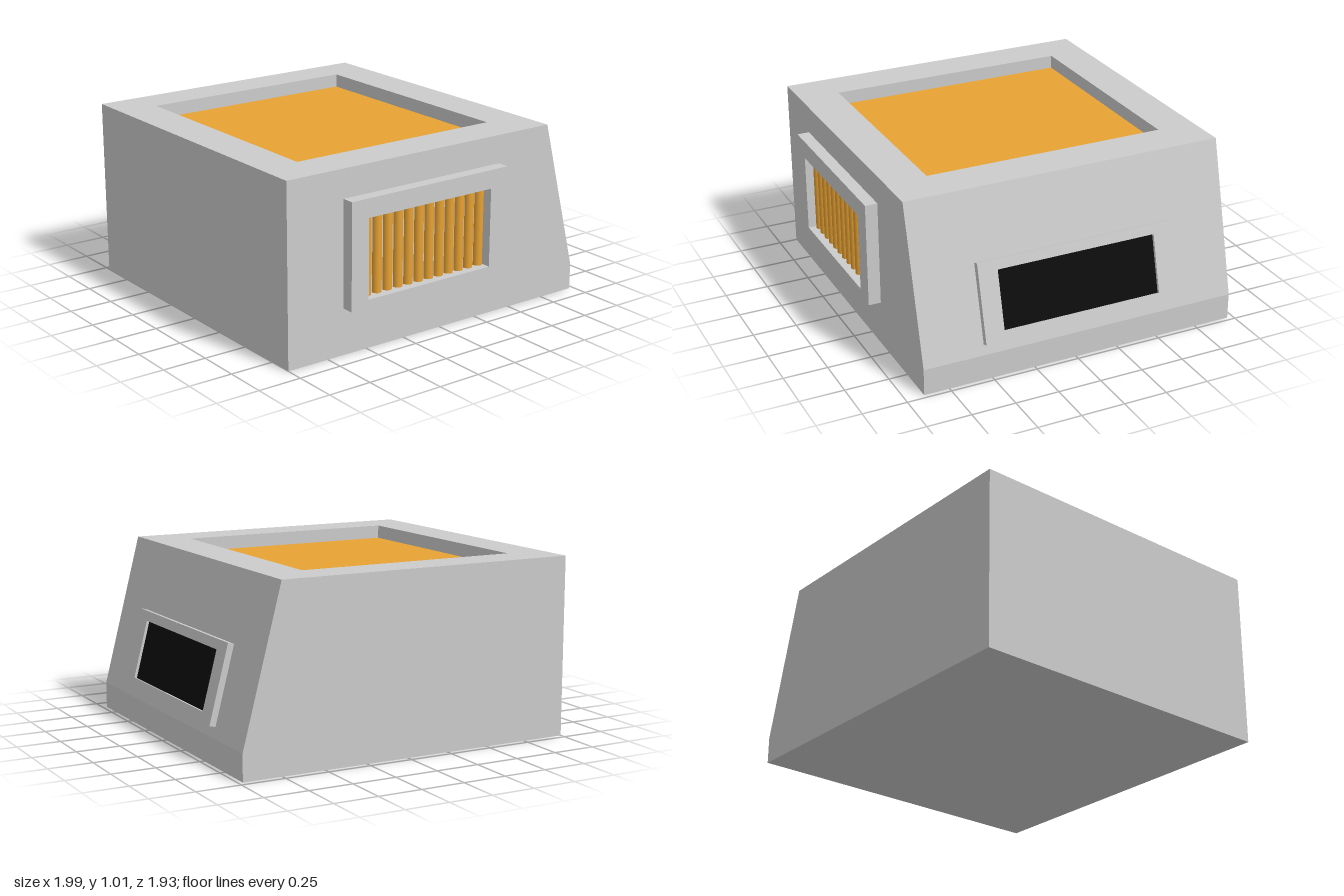
import * as THREE from 'three';

const grey = new THREE.MeshStandardMaterial({ color: 0xcccccc, flatShading: true });
const orange = new THREE.MeshStandardMaterial({ color: 0xe8a233 });
const black = new THREE.MeshStandardMaterial({ color: 0x0c0c0c });

function add(parent, name, geometry, material, x = 0, y = 0, z = 0) {
  const mesh = new THREE.Mesh(geometry, material);
  mesh.name = name;
  mesh.position.set(x, y, z);
  parent.add(mesh);
  return mesh;
}

function extrude(shape, depth) {
  return new THREE.ExtrudeGeometry(shape, { depth, bevelEnabled: false });
}

const polygon = (points) => new THREE.Shape(points.map(([x, y]) => new THREE.Vector2(x, y)));

const rectangle = (x0, x1, y0, y1) => [[x0, y0], [x1, y0], [x1, y1], [x0, y1]];

// Rectangular frame with a rectangular opening, growing along +z
function frame(outer, inner, depth) {
  const shape = polygon(rectangle(...outer));
  shape.holes.push(polygon(rectangle(...inner).reverse()));
  return extrude(shape, depth);
}

export function createModel() {
  const model = new THREE.Group();
  model.name = 'housing';

  // Body: solid front and back sections, with a notched section for the top recess
  const top = 1.015, floor = 0.935, left = -0.77, right = 0.515;
  const base = [[-1, 0], [0.975, 0], [0.975, 0.15], [0.75, top]];
  const solid = polygon([...base, [-1, top]]);
  const notched = polygon([...base, [right, top], [right, floor], [left, floor], [left, top], [-1, top]]);
  const body = new THREE.Group();
  body.name = 'body';
  model.add(body);
  add(body, 'bodyBack', extrude(solid, 0.225), grey, 0, 0, -0.965);
  add(body, 'bodyMiddle', extrude(notched, 1.4), grey, 0, 0, -0.74);
  add(body, 'bodyFront', extrude(solid, 0.235), grey, 0, 0, 0.66);

  // Coloured panel at the bottom of the recess
  const panel = new THREE.PlaneGeometry(right - left, 1.4).rotateX(-Math.PI / 2);
  add(model, 'topPanel', panel, orange, (left + right) / 2, floor + 0.003, -0.04);

  // Front grille: frame with a row of upright bars
  const grille = new THREE.Group();
  grille.name = 'frontGrille';
  model.add(grille);
  add(grille, 'grilleFrame', frame([-0.65, 0.4, 0.26, 0.855], [-0.54, 0.285, 0.305, 0.75], 0.07), grey, 0, 0, 0.895);
  const bar = new THREE.CylinderGeometry(0.027, 0.027, 0.44, 16);
  for (let i = 0; i < 12; i++) {
    add(grille, 'grilleBar', bar, orange, -0.508 + i * 0.0694, 0.5275, 0.9);
  }

  // Side window lying on the sloped wall
  const side = new THREE.Group();
  side.name = 'sideWindow';
  side.position.set(0.904, 0.4225, -0.035);
  side.rotation.set(0, Math.PI / 2, Math.atan2(0.225, 0.865), 'ZYX');
  model.add(side);
  add(side, 'windowFrame', frame([-0.58, 0.58, -0.222, 0.222], [-0.468, 0.468, -0.167, 0.167], 0.036), grey);
  add(side, 'windowPane', new THREE.BoxGeometry(0.936, 0.334, 0.02), black, 0, 0, 0.01);

  return model;
}
